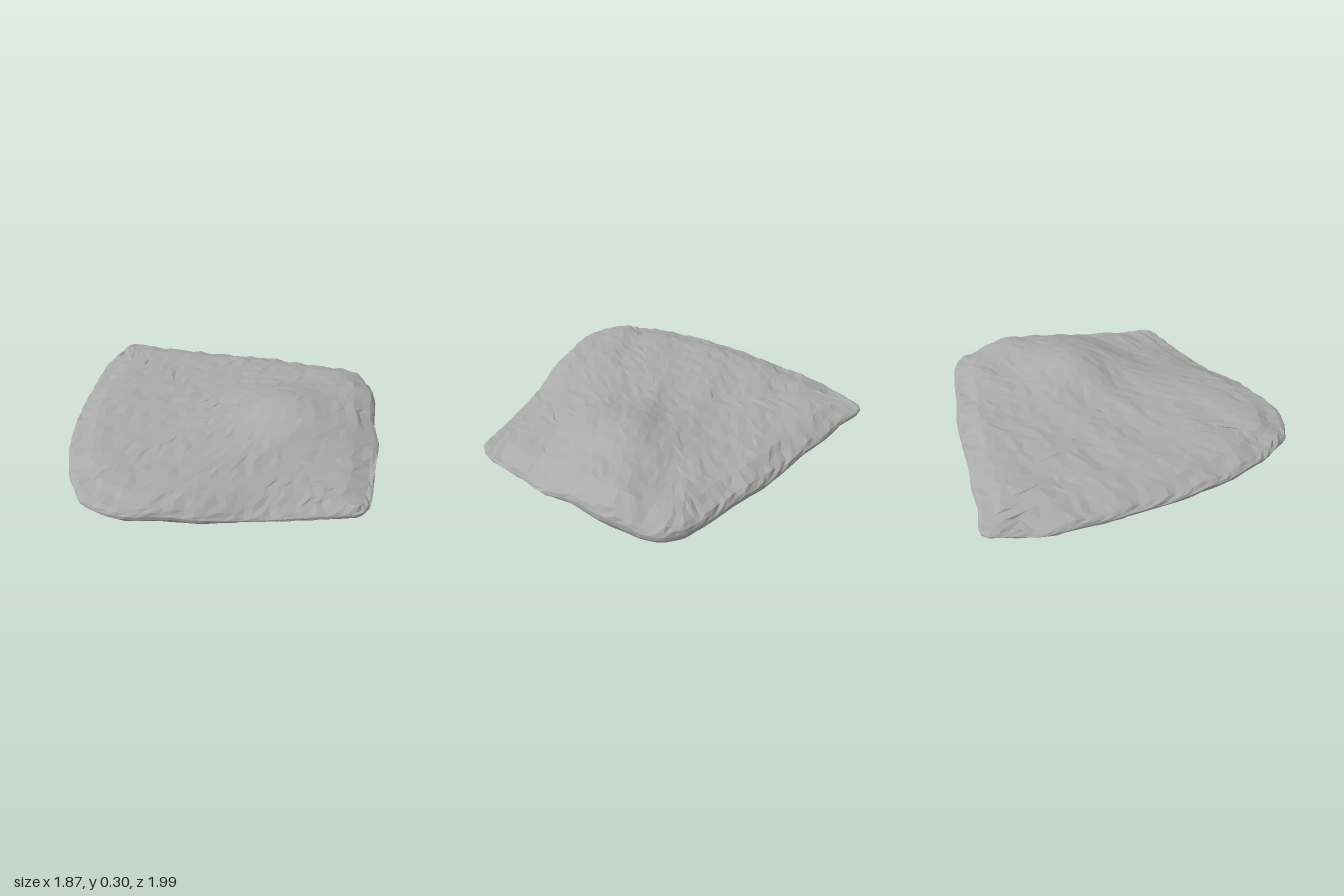
import * as THREE from 'three';

// Outline seen from above, as x, z pairs
const OUTLINE = [
  [-0.79, -1], [-0.70, -1], [-0.57, -0.96], [-0.38, -0.945], [-0.2, -0.91], [0, -0.89], [0.2, -0.865],
  [0.4, -0.81], [0.6, -0.77], [0.78, -0.72], [0.87, -0.645], [0.91, -0.53], [0.935, -0.3], [0.91, -0.05],
  [0.93, 0.12], [0.89, 0.35], [0.86, 0.58], [0.83, 0.7], [0.78, 0.76], [0.6, 0.79], [0.4, 0.83], [0.15, 0.88],
  [-0.08, 0.95], [-0.3, 0.965], [-0.46, 0.995], [-0.6, 0.96], [-0.73, 0.88], [-0.84, 0.66], [-0.91, 0.38],
  [-0.94, 0.05], [-0.93, -0.3], [-0.9, -0.7], [-0.85, -0.84],
];

const smooth = THREE.MathUtils.smoothstep;
const bump = (v, centre, width) => Math.exp(-(((v - centre) / width) ** 2));

// Distance from the centre to the outline along a direction
function reach(dx, dz) {
  let best = 0;
  OUTLINE.forEach(([ax, az], i) => {
    const [bx, bz] = OUTLINE[(i + 1) % OUTLINE.length];
    const ex = bx - ax, ez = bz - az;
    const den = dx * ez - dz * ex;
    if (Math.abs(den) < 1e-9) return;
    const t = (ax * ez - az * ex) / den;
    const s = (ax * dz - az * dx) / den;
    if (t > 0 && s >= -1e-6 && s <= 1 + 1e-6) best = Math.max(best, t);
  });
  return best;
}

// Repeatable value per position, from -1 to 1
function jitter(a, b, c = 0) {
  const v = Math.sin(Math.round(a * 500) * 12.9898 + Math.round(b * 500) * 78.233 + Math.round(c * 500) * 37.7) * 43758.5453;
  return 2 * (v - Math.floor(v)) - 1;
}

// Upper face: a level slab with a hump, sinking towards the front +x corner
function topHeight(x, z) {
  const hump = 0.1 * bump(x, 0.37, 0.29) * bump(z, -0.03, 0.27);
  const shoulder = 0.035 * bump(x, 0.85, 0.3) * bump(z, -0.3, 0.25);
  const sink = 0.1 * smooth(0.6 * x + 0.8 * z, 0.32, 0.9) * smooth(x, -0.5, 0.3);
  const ripples = 0.004 * Math.sin(9 * x + 17 * z) + 0.003 * Math.sin(23 * z + 5 * x);
  return 0.205 + hump + shoulder - sink + ripples;
}

// Lower face: nearly flat, lowest at the front +x corner
function bottomHeight(x, z) {
  const corner = 0.06 * smooth(z, 0.2, 0.75) * smooth(x, -0.8, 0.7);
  const lift = 0.03 * smooth(-x, 0.4, 0.9) * smooth(-z, 0.5, 1);
  return 0.08 - 0.025 * x - corner + lift;
}

// A divided box whose vertices are moved onto the rock surface
function rockGeometry() {
  const geometry = new THREE.BoxGeometry(2, 2, 2, 34, 5, 34);
  const pos = geometry.attributes.position;
  for (let i = 0; i < pos.count; i++) {
    const u = pos.getX(i), t = pos.getY(i), v = pos.getZ(i);
    const r = Math.max(Math.abs(u), Math.abs(v));
    const len = Math.hypot(u, v) || 1;
    const rim = reach(u / len, v / len);
    const rough = r > 0.99 ? 0.006 * jitter(u, v, t) : 0;
    const inset = 1 - 0.035 * t * t + (Math.abs(t) > 0.3 ? rough : 0);
    let x = (u / len) * rim * r * inset;
    let z = (v / len) * rim * r * inset;
    // Loosen the grid inside the faces
    if (r < 0.98) {
      x += 0.016 * jitter(u, v, 1);
      z += 0.016 * jitter(u, v, 2);
    }
    const top = topHeight(x, z) - 0.035 * smooth(r, 0.85, 1) + (t > 0.9 ? 0.0045 * jitter(u, v, 3) : 0);
    const low = bottomHeight(x, z) + 0.012 * smooth(r, 0.93, 1);
    pos.setXYZ(i, x, THREE.MathUtils.lerp(low, top, (t + 1) / 2) + rough, z);
  }
  geometry.computeBoundingBox();
  geometry.translate(0, -geometry.boundingBox.min.y, 0);
  geometry.computeVertexNormals();
  return geometry;
}

export function createModel() {
  const group = new THREE.Group();
  group.name = 'flatRock';
  const stone = new THREE.MeshStandardMaterial({ color: 0xaaaaaa, flatShading: true });
  stone.name = 'grey stone';
  const slab = new THREE.Mesh(rockGeometry(), stone);
  slab.name = 'stoneSlab';
  group.add(slab);
  return group;
}
